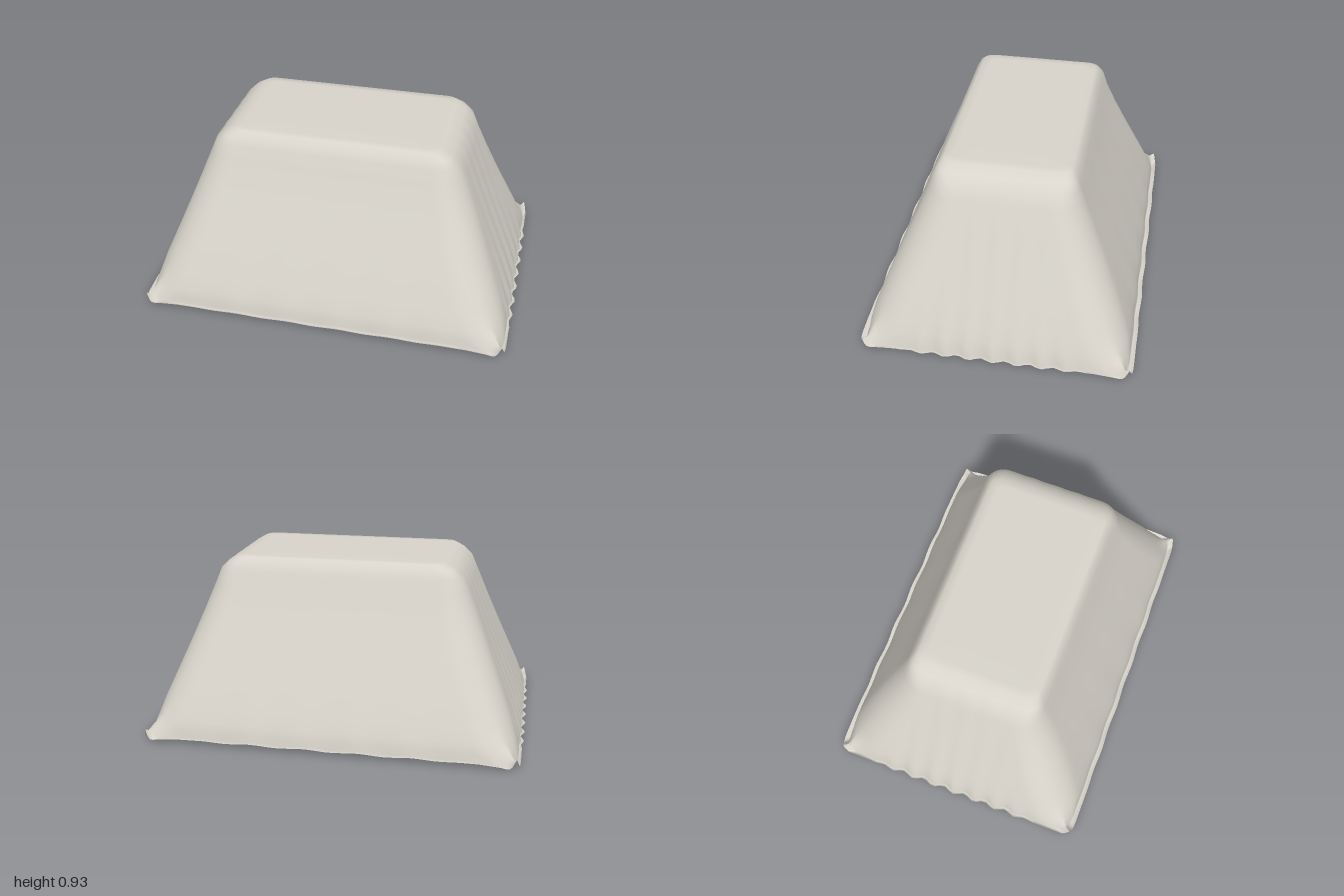
import * as THREE from 'three';

// Cloth rings from the top down: height, half width, half depth, corner radius,
// corner exponent (1 = round, small = square), ripple strength
const RINGS = [
  [0.94, 0.30, 0.15, 0.04, 0.8, 0],
  [0.94, 0.51, 0.28, 0.05, 0.8, 0],
  [0.938, 0.555, 0.325, 0.07, 0.8, 0],
  [0.91, 0.605, 0.35, 0.09, 0.8, 0.05],
  [0.87, 0.648, 0.372, 0.11, 0.9, 0.1],
  [0.80, 0.68, 0.395, 0.14, 1, 0.1],
  [0.65, 0.74, 0.455, 0.17, 1, 0.12],
  [0.50, 0.80, 0.52, 0.19, 1, 0.15],
  [0.34, 0.865, 0.588, 0.20, 1, 0.2],
  [0.20, 0.922, 0.645, 0.20, 1, 0.3],
  [0.12, 0.95, 0.675, 0.20, 0.95, 0.5],
  [0.07, 0.967, 0.688, 0.20, 0.7, 0.8],
  [0.035, 0.972, 0.69, 0.20, 0.45, 1],
  [0.024, 0.977, 0.695, 0.20, 0.35, 1],
  [0.034, 0.988, 0.716, 0.20, 0.3, 1],
];
const SIDE = 36, CORNER = 12;

// One closed ring as a list of points, running from the +x side towards +z
function ringPoints([y, hx, hz, r, e, ripple]) {
  const points = [];
  const ix = hx - r, iz = hz - r;
  const quadrants = [[1, 1], [-1, 1], [-1, -1], [1, -1]];
  quadrants.forEach(([sx, sz], q) => {
    // Corner
    for (let i = 0; i <= CORNER; i++) {
      const f = q % 2 === 0 ? i / CORNER : 1 - i / CORNER;
      const a = f * Math.PI / 2;
      const cx = Math.pow(Math.max(0, Math.cos(a)), e);
      const cz = Math.pow(Math.max(0, Math.sin(a)), e);
      const bend = Math.sin(2 * a);
      // The hem dips beside each corner and kicks up at its tip
      const lift = ripple ** 2 * (0.032 * bend ** 6 - 0.018 * Math.abs(Math.sin(4 * a)));
      points.push([sx * (ix + r * cx), Math.max(0.004, y + lift), sz * (iz + r * cz)]);
    }
    // Straight side leading to the next corner
    const [nx, nz] = quadrants[(q + 1) % 4];
    for (let i = 1; i < SIDE; i++) {
      const t = i / SIDE;
      const fade = ripple * Math.min(1, 6 * t, 6 * (1 - t));
      if (q % 2 === 0) {
        const x = ix * (sx + (nx - sx) * t);
        const wave = Math.cos((x + 0.17) * 22.4);
        points.push([x, y + 0.005 * fade * wave * ripple, sz * (hz + 0.003 * fade * wave)]);
      } else {
        const z = iz * (sz + (nz - sz) * t);
        const wave = Math.cos(z * 50);
        points.push([sx * (hx + 0.011 * fade * wave), y - 0.004 * fade * ripple, z]);
      }
    }
  });
  return points;
}

// Joins the rings into one smooth sheet with a closed top and an open bottom
function clothGeometry() {
  const rings = RINGS.map(ringPoints);
  const n = rings[0].length;
  const positions = [0, 0.94, 0].concat(rings.flat(2));
  const index = [];
  for (let i = 0; i < n; i++) {
    const j = (i + 1) % n;
    index.push(0, 1 + j, 1 + i);
    for (let k = 0; k < rings.length - 1; k++) {
      const a = 1 + k * n, b = a + n;
      index.push(a + i, a + j, b + i, a + j, b + j, b + i);
    }
  }
  const geometry = new THREE.BufferGeometry();
  geometry.setAttribute('position', new THREE.Float32BufferAttribute(positions, 3));
  geometry.setIndex(index);
  geometry.computeVertexNormals();
  return geometry;
}

export function createModel() {
  const linen = new THREE.MeshStandardMaterial({ color: 0xd8d4cb, side: THREE.DoubleSide });
  linen.name = 'linen';
  const black = new THREE.MeshStandardMaterial({ color: 0x111111 });
  black.name = 'black';

  const group = new THREE.Group();
  group.name = 'coveredTable';

  // Draped cloth
  const cloth = new THREE.Mesh(clothGeometry(), linen);
  cloth.name = 'tablecloth';

  // Solid block under the cloth
  const block = new THREE.Mesh(new THREE.BoxGeometry(1.1, 0.91, 0.59), black);
  block.name = 'tableBlock';
  block.position.y = 0.465;

  group.add(cloth, block);
  return group;
}
